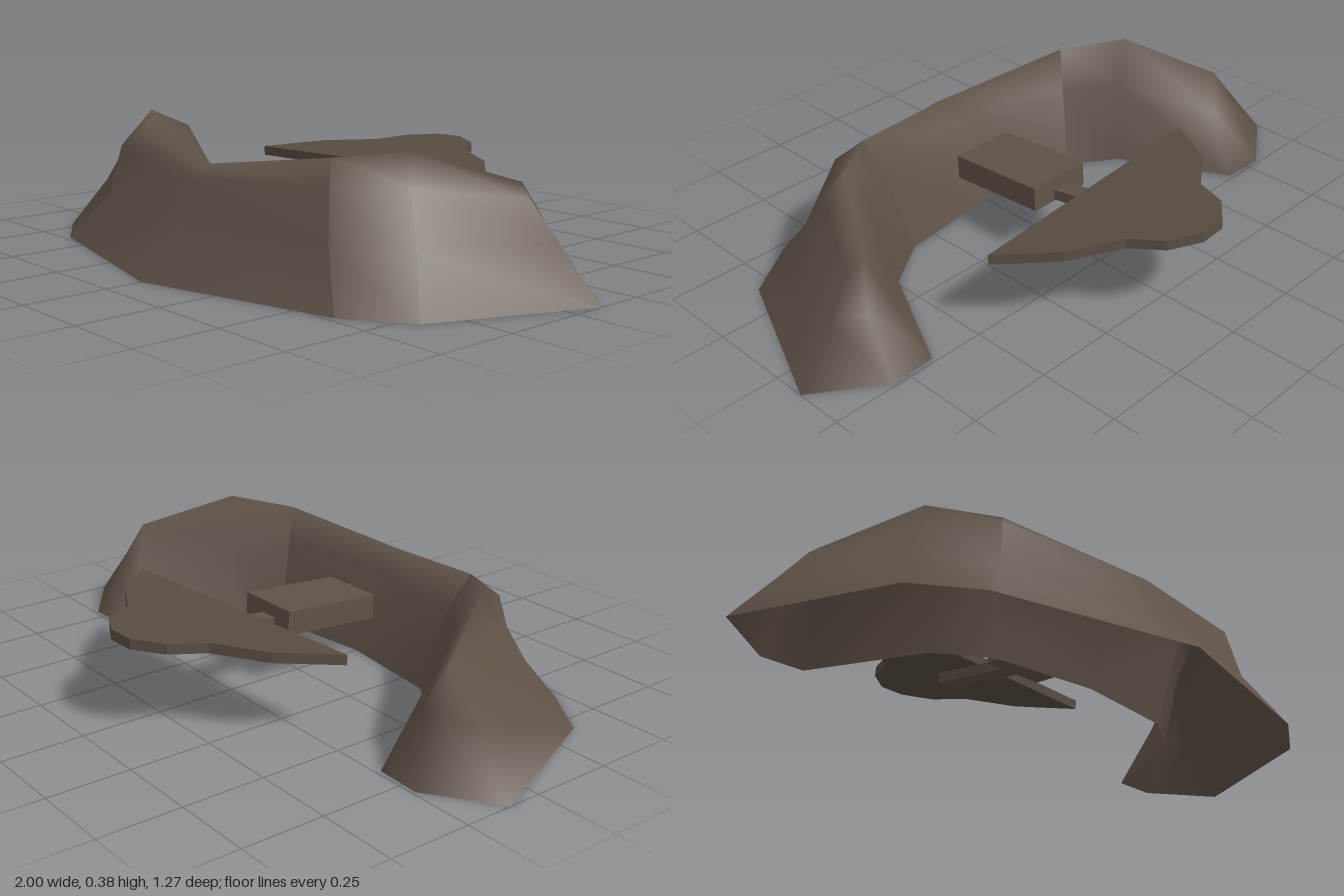
import * as THREE from 'three';
import { mergeVertices } from 'three/addons/utils/BufferGeometryUtils.js';

// Cross-sections of the bank from its middle to one tip, each running
// outer foot, outer middle, outer shoulder, crest, inner shoulder, inner foot
const SECTIONS = [
  [[0, 0, 0.635], [0, 0.15, 0.51], [0, 0.27, 0.46], [0, 0.305, 0.41], [0, 0.25, 0.33], [0, 0, 0.24]],
  [[0.62, 0, 0.48], [0.51, 0.15, 0.4], [0.48, 0.3, 0.37], [0.42, 0.362, 0.31], [0.38, 0.25, 0.26], [0.34, 0, 0.2]],
  [[0.8, 0, 0.36], [0.71, 0.15, 0.28], [0.635, 0.3, 0.23], [0.59, 0.385, 0.18], [0.53, 0.25, 0.14], [0.49, 0, 0.1]],
  [[1, 0, -0.1], [0.87, 0.155, -0.08], [0.79, 0.255, -0.06], [0.745, 0.295, -0.08], [0.7, 0.17, -0.13], [0.66, 0, -0.235]],
  // closes the tip
  [[0.8, 0, -0.24], [0.79, 0.17, -0.14], [0.745, 0.295, -0.08], [0.745, 0.295, -0.08], [0.79, 0.17, -0.14], [0.8, 0, -0.24]],
];
const mirror = (section) => section.map(([x, y, z]) => [-x, y, z]);

// Smooth skin through a run of cross-sections
function loft(sections) {
  const rows = sections[0].length;
  const index = [];
  for (let i = 0; i < sections.length - 1; i++) {
    for (let j = 0; j < rows - 1; j++) {
      const a = i * rows + j, b = a + rows;
      index.push(a, b, a + 1, b, b + 1, a + 1);
    }
  }
  let geometry = new THREE.BufferGeometry();
  geometry.setAttribute('position', new THREE.Float32BufferAttribute(sections.flat(2), 3));
  geometry.setIndex(index);
  geometry = mergeVertices(geometry);
  geometry.computeVertexNormals();
  return geometry;
}

export function createModel() {
  const earth = new THREE.MeshStandardMaterial({ color: 0x5f5247, side: THREE.DoubleSide });
  earth.name = 'earth brown';
  const dark = new THREE.MeshStandardMaterial({ color: 0x574c41 });
  dark.name = 'dark brown';

  const model = new THREE.Group();
  model.name = 'earthBank';
  const add = (name, geometry, material) => {
    const mesh = new THREE.Mesh(geometry, material);
    mesh.name = name;
    model.add(mesh);
    return mesh;
  };

  // Curved bank, creased where the two arms meet the middle
  const [middle, bend, shoulder, end, tip] = SECTIONS;
  add('bankMiddle', loft([mirror(bend), middle, bend]), earth);
  add('bankLeftArm', loft([bend, shoulder, end, tip]), earth);
  add('bankRightArm', loft([tip, end, shoulder, bend].map(mirror)), earth);

  // Block behind the bank, tipped up slightly to the back
  const block = add('block', new THREE.BoxGeometry(0.21, 0.075, 0.33), earth);
  block.position.set(0.017, 0.19, 0.065);
  block.rotation.x = 0.07;

  // Bar joining the block to the plate
  const bar = add('bar', new THREE.BoxGeometry(0.06, 0.033, 0.32), earth);
  bar.position.set(0, 0.199, -0.225);
  bar.rotation.set(0.12, 0.08, 0);

  // Rear plate with a stepped, rounded back edge
  const outline = [
    [-0.45, -0.18], [0.465, -0.26], [0.325, -0.41], [0.17, -0.495], [0.11, -0.59],
    [0.015, -0.64], [-0.075, -0.635], [-0.155, -0.57], [-0.2, -0.46], [-0.34, -0.355],
  ].map(([x, z]) => new THREE.Vector2(x, -z));
  const plateGeometry = new THREE.ExtrudeGeometry(new THREE.Shape(outline), { depth: 0.03, bevelEnabled: false });
  plateGeometry.rotateX(-Math.PI / 2);
  const plate = add('rearPlate', plateGeometry, dark);
  plate.position.y = 0.2;
  plate.rotation.x = 0.086;

  return model;
}
